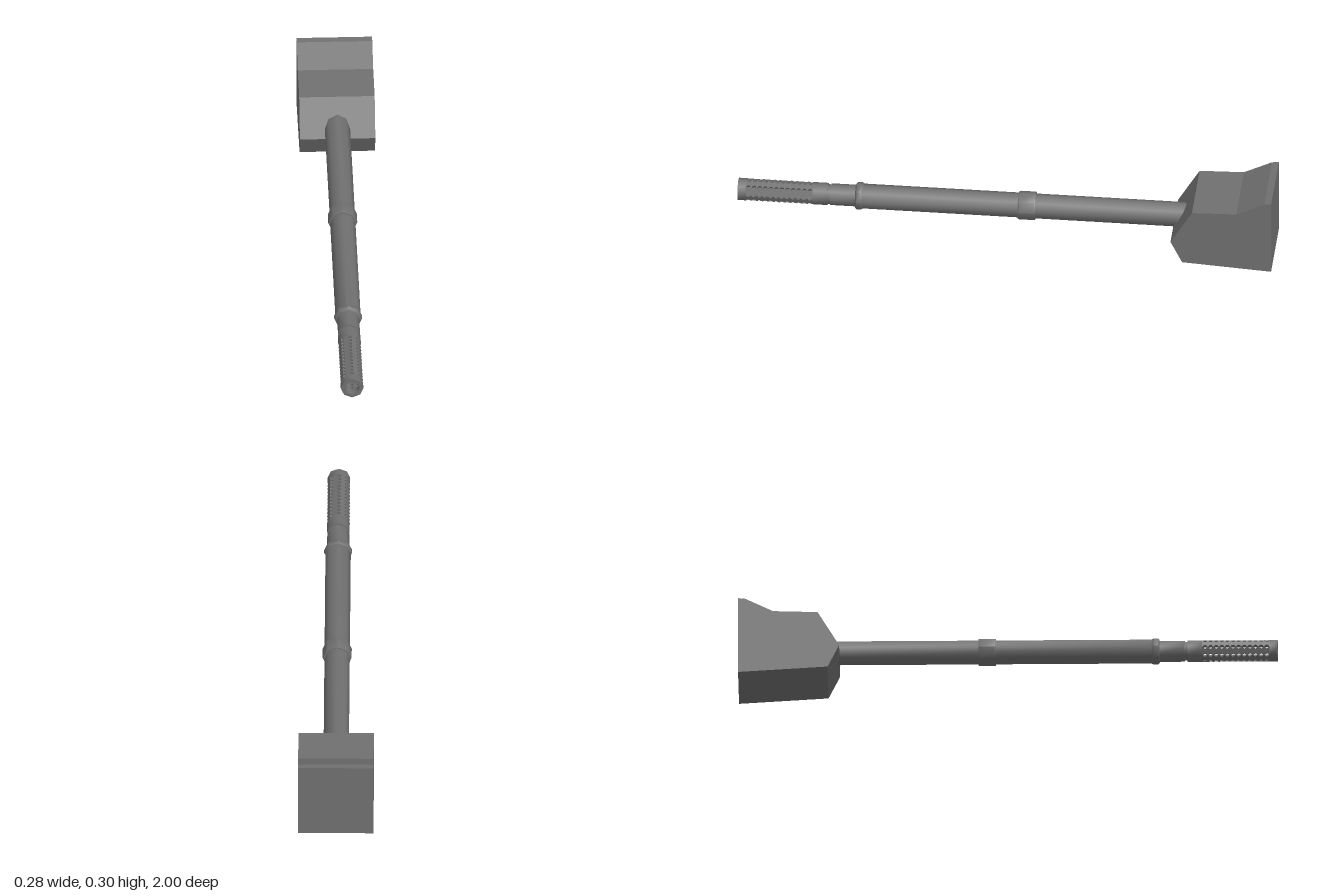
import * as THREE from 'three';
import { mergeGeometries, toCreasedNormals } from 'three/addons/utils/BufferGeometryUtils.js';

const AXIS_Y = 0.139; // height of the barrel axis
const SIDES = 8;

export function createModel() {
  const model = new THREE.Group();
  model.name = 'cannon';
  const gunmetal = new THREE.MeshStandardMaterial({ color: 0x707070 });
  gunmetal.name = 'gunmetal grey';

  const add = (name, geometry, y = AXIS_Y) => {
    const mesh = new THREE.Mesh(geometry, gunmetal);
    mesh.name = name;
    mesh.position.y = y;
    model.add(mesh);
  };

  // Eight-sided solid along z; profile is [radius, z] from back to front
  const turned = (name, profile) => {
    const points = profile.map(([r, z]) => new THREE.Vector2(r, z));
    const geometry = new THREE.LatheGeometry(points, SIDES).rotateX(Math.PI / 2);
    add(name, toCreasedNormals(geometry, 0.83));
  };
  const rod = (name, r, z0, z1) => turned(name, [[0, z0], [r, z0], [r, z1], [0, z1]]);

  // Breech block: side profile [z, y] extruded across the width
  const profile = [[-1, 0], [-0.668, 0.02], [-0.625, 0.108], [-0.705, 0.243],
    [-0.87, 0.248], [-0.975, 0.3], [-1, 0.302]];
  const side = new THREE.Shape(profile.map(([z, y]) => new THREE.Vector2(-z, y)));
  const block = new THREE.ExtrudeGeometry(side, { depth: 0.28, bevelEnabled: false });
  block.translate(0, 0, -0.14).rotateY(Math.PI / 2);
  add('breechBlock', block, 0);

  // Barrel with its collars
  rod('barrel', 0.047, -0.72, 0.55);
  turned('middleCollar', [[0, -0.11], [0.052, -0.11], [0.054, -0.105],
    [0.054, -0.05], [0.052, -0.045], [0, -0.045]]);
  turned('frontCollar', [[0, 0.533], [0.048, 0.533], [0.052, 0.54],
    [0.052, 0.556], [0.046, 0.562], [0, 0.562]]);
  rod('barrelNeck', 0.041, 0.55, 0.655);
  rod('neckGroove', 0.037, 0.65, 0.668);

  // Muzzle brake: solid base, perforated sleeve and end ring
  const outer = 0.042, bore = 0.028, z0 = 0.72, z1 = 0.97;
  turned('muzzleBase', [[0, 0.665], [outer, 0.665], [outer, z0], [bore, z0], [bore, 0.7], [0, 0.7]]);
  turned('muzzleRing', [[bore, z0 + 0.25], [outer, z1], [outer, 1], [bore, 1], [bore, z1]]);

  // One wall of the sleeve, with half holes along both edges
  const holes = 12, pitch = (z1 - z0) / holes, holeR = 0.0083;
  const half = outer * Math.sin(Math.PI / SIDES);
  const edge = [new THREE.Vector2(half, z0)];
  for (let i = 0; i < holes; i++) {
    const centre = z0 + (i + 0.5) * pitch;
    for (let j = 0; j <= 4; j++) {
      const a = j * Math.PI / 4;
      edge.push(new THREE.Vector2(half - holeR * Math.sin(a), centre - holeR * Math.cos(a)));
    }
  }
  edge.push(new THREE.Vector2(half, z1));
  const mirrored = edge.map(p => new THREE.Vector2(-p.x, p.y)).reverse();
  const flat = Math.cos(Math.PI / SIDES);
  const wall = new THREE.ExtrudeGeometry(new THREE.Shape([...edge, ...mirrored]),
    { depth: (outer - bore) * flat, bevelEnabled: false });

  // Taper the wall toward the axis so that neighbours meet
  const pos = wall.attributes.position;
  for (let i = 0; i < pos.count; i++) {
    const z = pos.getZ(i) + bore * flat;
    pos.setXYZ(i, pos.getX(i) * z / (outer * flat), pos.getY(i), z);
  }
  wall.computeVertexNormals();
  wall.rotateX(Math.PI / 2);
  const walls = [];
  for (let k = 0; k < SIDES; k++) {
    walls.push(wall.clone().rotateZ((k + 0.5) * 2 * Math.PI / SIDES));
  }
  add('perforatedSleeve', mergeGeometries(walls));

  return model;
}
